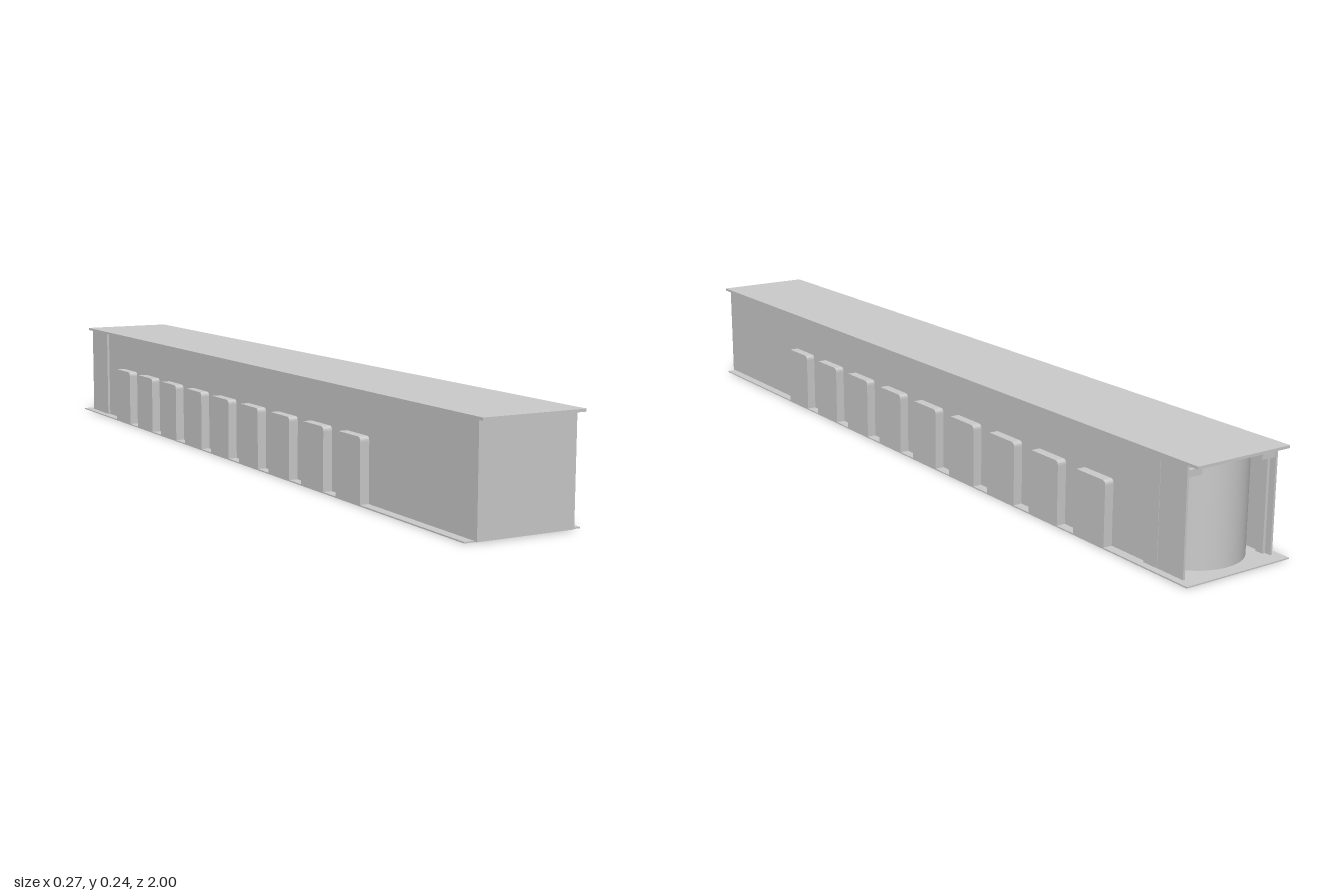
import * as THREE from 'three';

const grey = new THREE.MeshStandardMaterial({ color: 0xcccccc });
grey.side = THREE.DoubleSide;

export function createModel() {
  const model = new THREE.Group();

  const add = (name, geometry) => {
    const mesh = new THREE.Mesh(geometry, grey);
    mesh.name = name;
    model.add(mesh);
    return mesh;
  };
  // Box given by its limits on each axis
  const box = (name, x0, x1, y0, y1, z0, z1) => {
    const mesh = add(name, new THREE.BoxGeometry(Math.abs(x1 - x0), y1 - y0, z1 - z0));
    mesh.position.set((x0 + x1) / 2, (y0 + y1) / 2, (z0 + z1) / 2);
    return mesh;
  };

  // Ground slab and overhanging flat roof
  box('groundSlab', -0.137, 0.137, 0, 0.003, -1, 0.97);
  box('roof', -0.121, 0.121, 0.236, 0.242, -1, 1);

  // Long hall and the round wall closing its back end
  const endZ = -0.856;
  box('hall', -0.115, 0.115, 0.002, 0.236, endZ, 0.98);
  const apse = add('roundEndWall',
    new THREE.CylinderGeometry(0.113, 0.113, 0.233, 48, 1, true, Math.PI / 2, Math.PI));
  apse.position.set(0, 0.1195, endZ);

  // Bay outline with small rounded upper corners
  const w = 0.05, h = 0.147, r = 0.01;
  const outline = new THREE.Shape();
  outline.moveTo(-w, 0.002);
  outline.lineTo(w, 0.002);
  outline.lineTo(w, h - r);
  outline.quadraticCurveTo(w, h, w - r, h);
  outline.lineTo(-w + r, h);
  outline.quadraticCurveTo(-w, h, -w, h - r);
  const bayGeometry = new THREE.ExtrudeGeometry(outline, { depth: 0.024, bevelEnabled: false, curveSegments: 4 });

  for (const side of [-1, 1]) {
    // Row of nine shallow bays
    for (let i = 0; i < 9; i++) {
      const bay = add('sideBay', bayGeometry);
      bay.rotation.y = side * Math.PI / 2;
      bay.position.set(side * 0.113, 0, 0.54 - i * 0.155);
    }
    // Screen beside the round end, with inner pilaster and roof bracket
    box('screenPost', side * 0.112, side * 0.121, 0.002, 0.236, -0.895, -0.855);
    box('sideScreen', side * 0.115, side * 0.12, 0.002, 0.236, -0.97, -0.895);
    box('innerPilaster', side * 0.108, side * 0.115, 0.002, 0.21, -0.955, -0.935);
    box('roofBracket', side * 0.08, side * 0.115, 0.21, 0.225, -0.968, -0.96);
  }
  return model;
}
